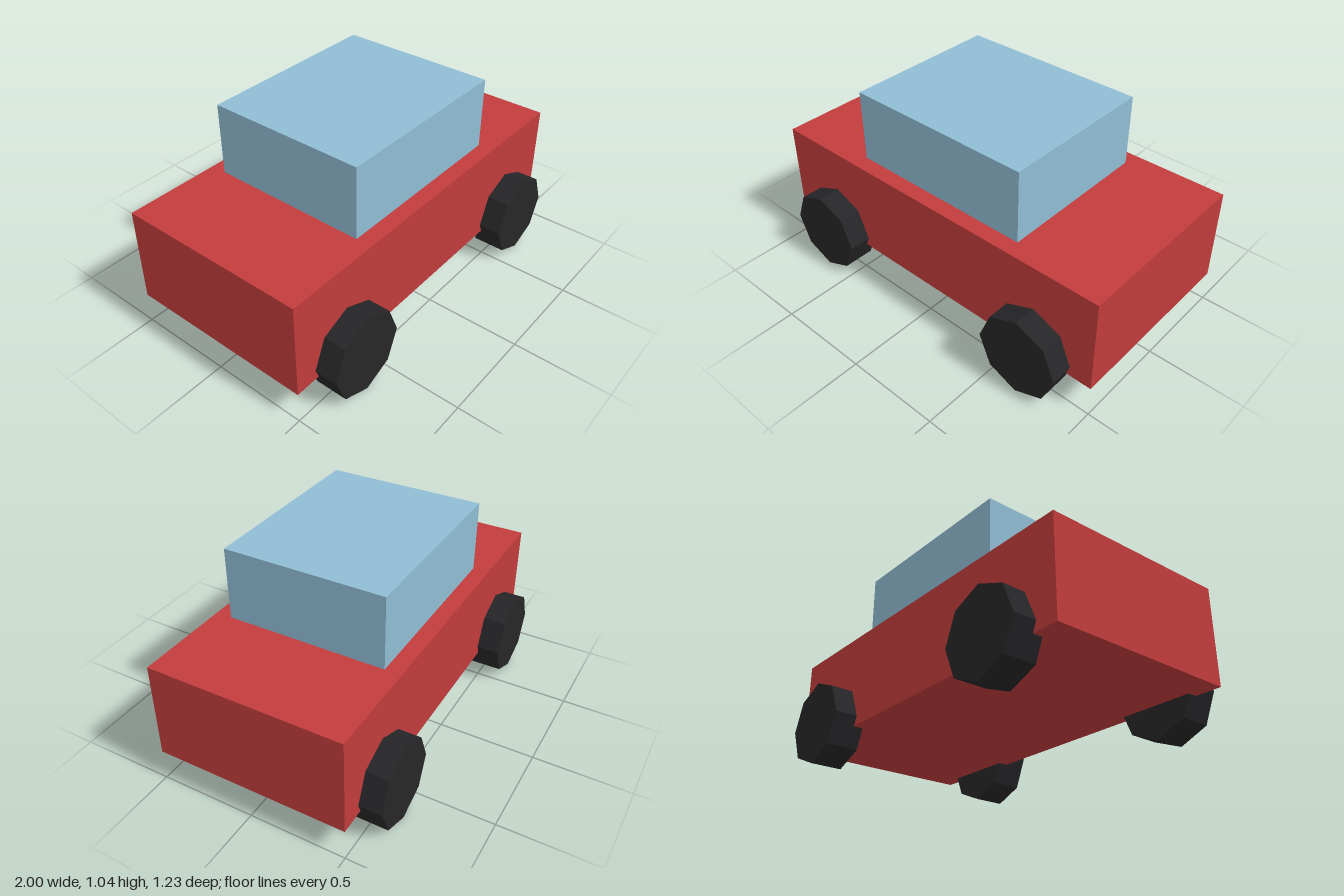
import * as THREE from 'three';

const paint = (color) => new THREE.MeshStandardMaterial({ color, flatShading: true });

export function createModel() {
  const car = new THREE.Group();
  car.name = 'car';

  const add = (name, geometry, material, x, y, z) => {
    const mesh = new THREE.Mesh(geometry, material);
    mesh.name = name;
    mesh.position.set(x, y, z);
    car.add(mesh);
  };

  // Body and cabin
  add('body', new THREE.BoxGeometry(2, 0.5, 1), paint(0xc23c3c), 0, 0.417, 0);
  add('cabin', new THREE.BoxGeometry(1, 0.376, 0.833), paint(0x90bcd3), 0, 0.855, 0);

  // Four octagonal wheels, partly sunk into the body sides
  const radius = 0.2165;
  const wheel = new THREE.CylinderGeometry(radius, radius, 0.167, 8).rotateX(Math.PI / 2);
  const rubber = paint(0x262628);
  for (const x of [-0.667, 0.667]) {
    for (const z of [-0.533, 0.533]) {
      const name = (z > 0 ? 'front' : 'back') + (x > 0 ? 'Left' : 'Right') + 'Wheel';
      add(name, wheel, rubber, x, radius, z);
    }
  }
  return car;
}
